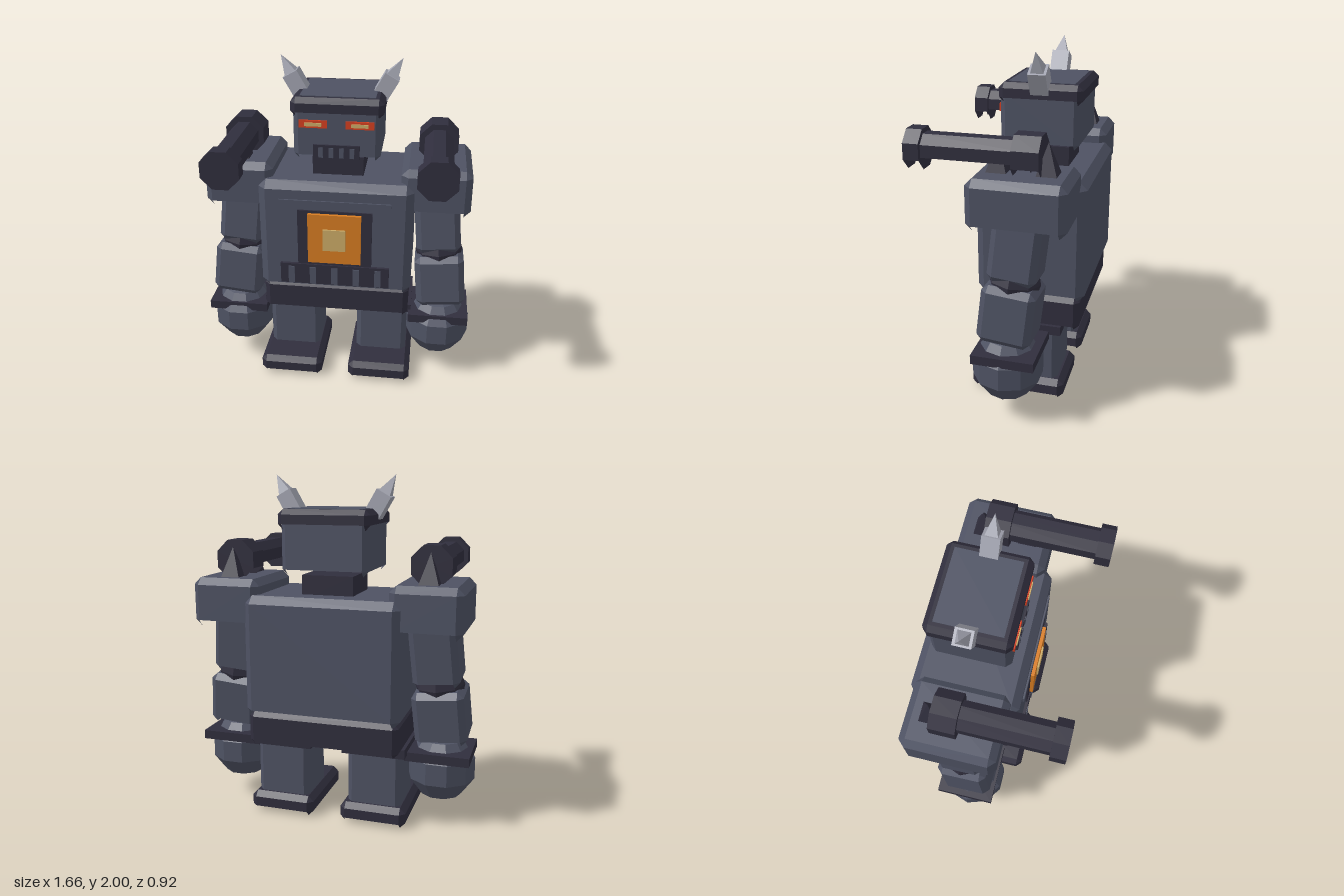
import * as THREE from 'three';
import { ConvexGeometry } from 'three/addons/geometries/ConvexGeometry.js';

const paint = (name, color) => {
  const m = new THREE.MeshStandardMaterial({ color, side: THREE.DoubleSide });
  m.name = name;
  return m;
};

const SIDES = [1, -1];
const MID = -0.15; // z of the body's centre line

// Box with every edge cut at 45 degrees, given by its limits
function chamferBox([x0, x1], [y0, y1], [z0, z1], c) {
  const h = [(x1 - x0) / 2, (y1 - y0) / 2, (z1 - z0) / 2];
  const pts = [];
  for (const sx of SIDES) for (const sy of SIDES) for (const sz of SIDES)
    for (let axis = 0; axis < 3; axis++) {
      const p = h.map((v, i) => (i === axis ? v : v - c));
      pts.push(new THREE.Vector3(p[0] * sx, p[1] * sy, p[2] * sz));
    }
  return new ConvexGeometry(pts).translate((x0 + x1) / 2, (y0 + y1) / 2, (z0 + z1) / 2);
}

function box([x0, x1], [y0, y1], [z0, z1]) {
  return new THREE.BoxGeometry(x1 - x0, y1 - y0, z1 - z0)
    .translate((x0 + x1) / 2, (y0 + y1) / 2, (z0 + z1) / 2);
}

// Range around a centre
const span = (centre, width) => [centre - width / 2, centre + width / 2];

// Four-sided pyramid standing on y = 0
const pyramid = (r, h) => new THREE.ConeGeometry(r, h, 4).rotateY(Math.PI / 4).translate(0, h / 2, 0);

// Eight-sided bar along z, given by its width across flats
function octagonBar(width, z0, z1) {
  const r = width / 2 / Math.cos(Math.PI / 8);
  return new THREE.CylinderGeometry(r, r, z1 - z0, 8)
    .rotateY(Math.PI / 8).rotateX(Math.PI / 2).translate(0, 0, (z0 + z1) / 2);
}

// Facets the mesh and leaves its underside open
function openUnderside(mesh) {
  const flat = mesh.geometry.index ? mesh.geometry.toNonIndexed() : mesh.geometry;
  const pos = flat.attributes.position;
  const kept = [];
  const v = [0, 1, 2].map(() => new THREE.Vector3());
  const n = new THREE.Vector3();
  for (let i = 0; i < pos.count; i += 3) {
    v.forEach((p, k) => p.fromBufferAttribute(pos, i + k));
    new THREE.Triangle(...v).getNormal(n);
    n.transformDirection(mesh.matrixWorld);
    if (n.y > -0.65) v.forEach((p) => kept.push(p.x, p.y, p.z));
  }
  mesh.geometry = new THREE.BufferGeometry();
  mesh.geometry.setAttribute('position', new THREE.Float32BufferAttribute(kept, 3));
  mesh.geometry.computeVertexNormals();
}

export function createModel() {
  const armour = paint('slate armour', 0x4e5263);
  const dark = paint('dark metal', 0x302e3d);
  const orange = paint('orange core', 0xd87d22);
  const tan = paint('tan glow', 0xcdac68);
  const red = paint('red eye', 0xd63f20);
  const horn = paint('pale horn', 0xa4a6b2);

  const model = new THREE.Group();
  model.name = 'robot';
  const add = (name, geometry, material, parent = model) => {
    const mesh = new THREE.Mesh(geometry, material);
    mesh.name = name;
    parent.add(mesh);
    return mesh;
  };
  const group = (name, x, y, z) => {
    const g = new THREE.Group();
    g.name = name;
    g.position.set(x, y, z);
    model.add(g);
    return g;
  };

  // Torso and pelvis
  add('torso', chamferBox(span(0, 0.91), [0.625, 1.335], span(MID, 0.62), 0.045), armour);
  add('pelvis', chamferBox(span(0, 0.89), [0.45, 0.655], span(-0.157, 0.555), 0.03), dark);

  // Chest panel, core and vents
  add('chestBar', box(span(0, 0.654), [1.175, 1.232], [0.15, 0.17]), armour);
  add('chestFrame', box(span(0, 0.44), [0.8, 1.17], [0.15, 0.17]), dark);
  add('core', box(span(0, 0.314), [0.84, 1.155], [0.16, 0.19]), orange);
  add('coreLight', box(span(0, 0.134), [0.928, 1.064], [0.185, 0.2]), tan);
  add('ventPanel', box(span(0, 0.654), [0.685, 0.817], [0.15, 0.178]), dark);
  for (let i = -2; i <= 2; i++)
    add('vent', box(span(i * 0.13, 0.038), [0.69, 0.8], [0.17, 0.184]), armour);

  // Neck, head and cap
  add('neck', box(span(0, 0.3), [1.3, 1.445], span(MID, 0.3)), dark);
  add('head', chamferBox(span(0, 0.5), [1.45, 1.78], span(MID, 0.445), 0.03), armour);
  add('cap', chamferBox(span(0, 0.53), [1.7, 1.812], span(MID - 0.005, 0.47), 0.03), dark);
  add('crownPlate', box(span(0, 0.43), [1.808, 1.815], span(MID - 0.005, 0.37)), armour);

  // Mouth grille
  add('mouth', box(span(0, 0.266), [1.458, 1.545], [0.05, 0.083]), dark);
  for (const x of [-0.09, -0.03, 0.03, 0.09])
    add('tooth', box(span(x, 0.026), [1.47, 1.53], [0.078, 0.087]), armour);

  for (const s of SIDES) {
    const side = s > 0 ? 'left' : 'right';

    // Eyes
    add(side + 'Eye', box(span(s * 0.133, 0.16), [1.644, 1.688], [0.065, 0.083]), red);
    add(side + 'Pupil', box(span(s * 0.133, 0.098), [1.655, 1.675], [0.08, 0.089]), tan);

    // Horns lean outwards
    const hornGroup = group(side + 'Horn', s * 0.294, 1.897, -0.155);
    hornGroup.rotation.z = -s * 0.52;
    add('hornBase', box(span(0, 0.093), [-0.17, 0], span(0, 0.1)), horn, hornGroup);
    add('hornTip', pyramid(0.05, 0.115), horn, hornGroup);

    // Shoulder with two spikes
    add(side + 'Shoulder', chamferBox(span(s * 0.578, 0.406), [1.135, 1.42], span(-0.155, 0.535), 0.04), armour);
    for (const z of [-0.285, -0.02])
      add(side + 'ShoulderSpike', pyramid(0.08, 0.175).translate(s * 0.578, 1.415, z), dark);

    // Shoulder cannon
    const cannon = group(side + 'Cannon', s * 0.578, 1.513, 0);
    add('breech', octagonBar(0.227, -0.26, -0.115), dark, cannon);
    add('barrel', octagonBar(0.165, -0.2, 0.4), dark, cannon);
    add('muzzle', octagonBar(0.215, 0.377, 0.464), dark, cannon);

    // Arm swings slightly forwards and outwards
    const arm = group(side + 'Arm', s * 0.58, 1.25, -0.16);
    arm.rotation.set(-0.1, 0, s * 0.09);
    add('upperArm', chamferBox(span(0, 0.27), [-0.42, 0], span(0, 0.27), 0.035), armour, arm);
    add('elbow', new THREE.SphereGeometry(0.145, 8, 6).translate(0, -0.43, 0), dark, arm);
    add('forearm', chamferBox(span(0, 0.3), [-0.765, -0.44], span(0, 0.3), 0.035), armour, arm);

    // Cuff and fist
    add(side + 'Cuff', box(span(s * 0.635, 0.37), [0.392, 0.445], span(-0.095, 0.35)), dark);
    add(side + 'Fist', new THREE.SphereGeometry(0.207, 10, 5).translate(s * 0.635, 0.32, -0.08), armour);

    // Leg and boot
    add(side + 'HipPlate', box(span(s * 0.28, 0.37), [0.425, 0.48], span(-0.157, 0.36)), dark);
    add(side + 'Leg', chamferBox(span(s * 0.28, 0.32), [0.06, 0.47], span(-0.157, 0.315), 0.03), armour);
    add(side + 'Boot', chamferBox(span(s * 0.28, 0.39), [0, 0.122], span(-0.08, 0.555), 0.032), dark);
  }

  model.updateMatrixWorld(true);
  model.traverse((o) => o.isMesh && openUnderside(o));
  return model;
}
